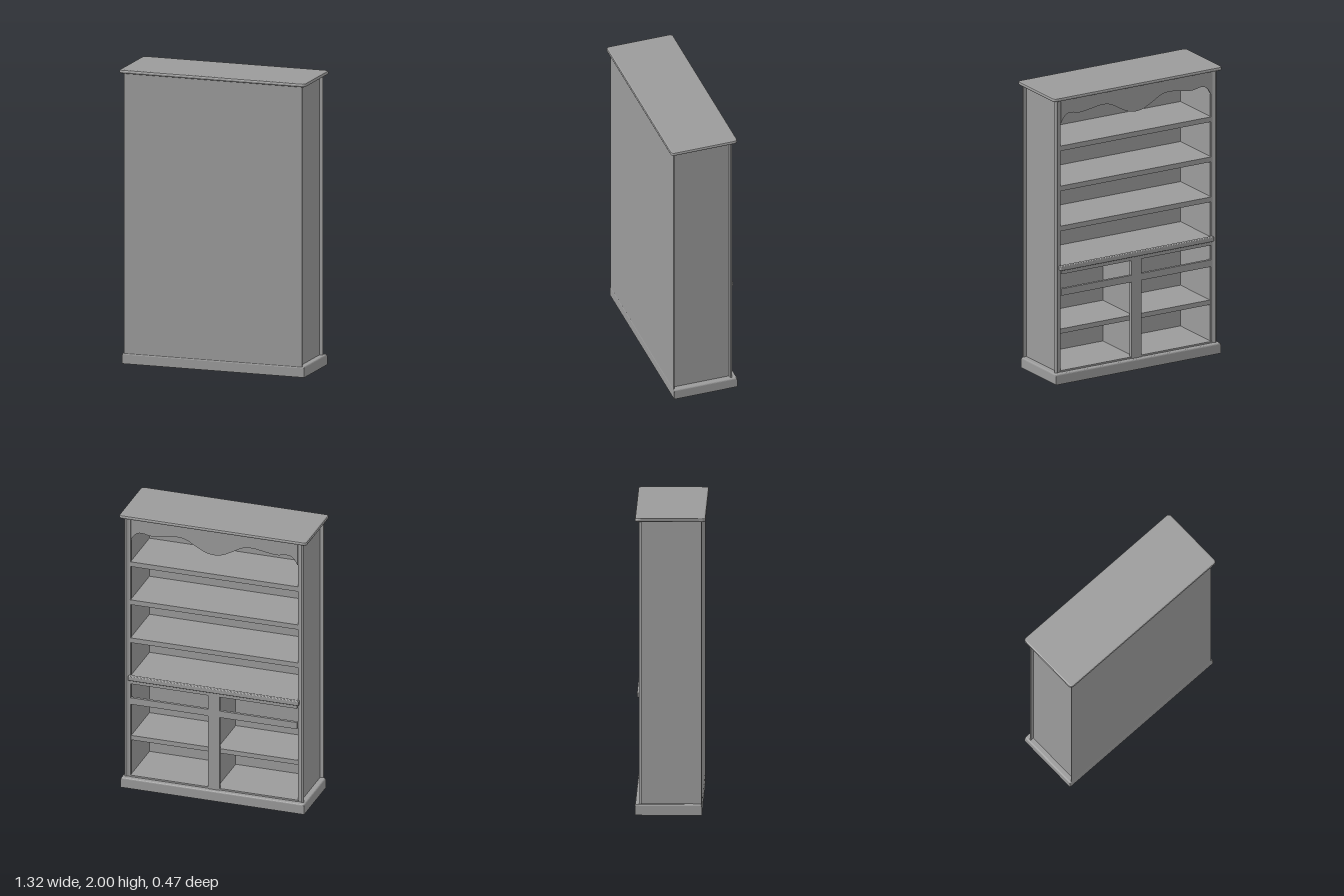
import * as THREE from 'three';

const mat = new THREE.MeshStandardMaterial({ color: 0x9b9b9b });

// Cabinet limits: the open face looks toward -z, the closed panel toward +z
const HALF = 0.63, OPEN = 0.585, INNER = 0.592, FACE = -0.207, BACK = 0.21;
const FLOOR = 0.07, TOP = 1.977;

export function createModel() {
  const group = new THREE.Group();

  const add = (name, geo) => {
    const mesh = new THREE.Mesh(geo, mat);
    mesh.name = name;
    group.add(mesh);
    return mesh;
  };

  // Box given by its minimum and maximum on each axis
  const box = (name, x0, x1, y0, y1, z0, z1) => {
    const geo = new THREE.BoxGeometry(x1 - x0, y1 - y0, z1 - z0);
    geo.translate((x0 + x1) / 2, (y0 + y1) / 2, (z0 + z1) / 2);
    return add(name, geo);
  };

  // Rounded rectangle in plan
  const plan = (x0, x1, z0, z1, r) => {
    const s = new THREE.Shape();
    s.absarc(x1 - r, z0 + r, r, -Math.PI / 2, 0, false);
    s.absarc(x1 - r, z1 - r, r, 0, Math.PI / 2, false);
    s.absarc(x0 + r, z1 - r, r, Math.PI / 2, Math.PI, false);
    s.absarc(x0 + r, z0 + r, r, Math.PI, Math.PI * 1.5, false);
    return s;
  };

  // Slab with bevelled edges above and below, extruded from a plan
  const slab = (name, shape, y0, y1, bevel, bevelSegments) => {
    const geo = new THREE.ExtrudeGeometry(shape, {
      depth: y1 - y0 - 2 * bevel, curveSegments: 6,
      bevelThickness: bevel, bevelSize: bevel, bevelOffset: -bevel, bevelSegments,
    });
    geo.rotateX(Math.PI / 2);        // plan y becomes z, extrusion runs down
    geo.translate(0, y1 - bevel, 0);
    return add(name, geo);
  };

  // Plinth and cornice
  box('plinth', -0.645, 0.645, 0, 0.06, -0.235, BACK);
  slab('plinthTop', plan(-0.645, 0.645, -0.235, BACK, 0.011), 0.046, 0.072, 0.01, 3);
  slab('cornice', plan(-0.66, 0.66, -0.235, 0.235, 0.025), 1.974, 2, 0.011, 2);

  // Recessed side panels behind thin face stiles with rounded outer edges
  for (const s of [-1, 1]) {
    const side = box('sidePanel', -0.009, 0.009, FLOOR, TOP, FACE + 0.008, 0.207);
    side.position.x = s * 0.597;

    const r = 0.013, w = HALF - OPEN;
    const outline = new THREE.Shape();
    outline.moveTo(0, 0);
    outline.absarc(w - r, r, r, -Math.PI / 2, 0, false);
    outline.lineTo(w, 0.016);
    outline.lineTo(0, 0.016);
    const geo = new THREE.ExtrudeGeometry(outline, {
      depth: TOP - FLOOR, bevelEnabled: false, curveSegments: 8,
    });
    geo.rotateX(Math.PI / 2);
    geo.translate(OPEN, TOP, FACE);
    if (s < 0) {
      // Half turn about z mirrors the prism, as its section is constant in y
      geo.rotateZ(Math.PI);
      geo.translate(0, TOP + FLOOR, 0);
    }
    add('faceStile', geo);
  }

  // Closed panel overhanging the sides, its lining, floor and ceiling
  box('backPanel', -HALF, HALF, FLOOR, TOP, 0.203, BACK);
  box('backLining', -INNER, INNER, FLOOR, TOP, 0.185, 0.206);
  box('cabinetFloor', -INNER, INNER, 0.05, 0.083, FACE + 0.005, 0.19);
  box('ceiling', -INNER, INNER, 1.945, TOP - 0.001, FACE + 0.025, 0.19);

  // Upper shelves
  for (const top of [1.092, 1.372, 1.652]) {
    box('upperShelf', -INNER, INNER, top - 0.035, top, -0.2, 0.19);
  }

  // Counter with a rounded nose across the stiles
  box('counter', -INNER, INNER, 0.785, 0.812, FACE + 0.01, 0.19);
  slab('counterNose', plan(-0.6, 0.6, -0.222, FACE + 0.015, 0.007), 0.784, 0.817, 0.006, 3);

  // Face frame and fittings of the lower half
  box('counterRail', -OPEN, OPEN, 0.757, 0.79, FACE, FACE + 0.02);
  box('centreStile', -0.04, 0.04, FLOOR, 0.79, FACE - 0.001, FACE + 0.02);
  box('divider', -0.018, 0.018, FLOOR, 0.79, FACE + 0.015, 0.19);
  for (const s of [-1, 1]) {
    const mid = s * (OPEN + 0.04) / 2, half = (OPEN - 0.04) / 2;
    box('drawerRail', mid - half, mid + half, 0.607, 0.655, FACE, FACE + 0.02);
    const c = s * (INNER + 0.015) / 2, reach = (INNER - 0.015) / 2;
    box('lowerShelf', c - reach, c + reach, 0.335, 0.368, -0.186, 0.19);
  }

  // Scalloped valance below the cornice
  const half = [[0, 1.793], [0.06, 1.803], [0.13, 1.838], [0.2, 1.876], [0.27, 1.885],
    [0.36, 1.872], [0.44, 1.862], [0.5, 1.873], [0.54, 1.868], [0.57, 1.84], [OPEN, 1.81]];
  const points = [...half.slice(1).reverse().map(([x, y]) => [-x, y]), ...half]
    .map(([x, y]) => new THREE.Vector2(x, y));
  const valance = new THREE.Shape();
  valance.moveTo(-OPEN, TOP);
  valance.lineTo(-OPEN, 1.81);
  valance.splineThru(points.slice(1));
  valance.lineTo(OPEN, TOP);
  const geo = new THREE.ExtrudeGeometry(valance, {
    depth: 0.012, bevelEnabled: false, curveSegments: 3,
  });
  geo.translate(0, 0, FACE + 0.006);
  add('valance', geo);

  return group;
}
